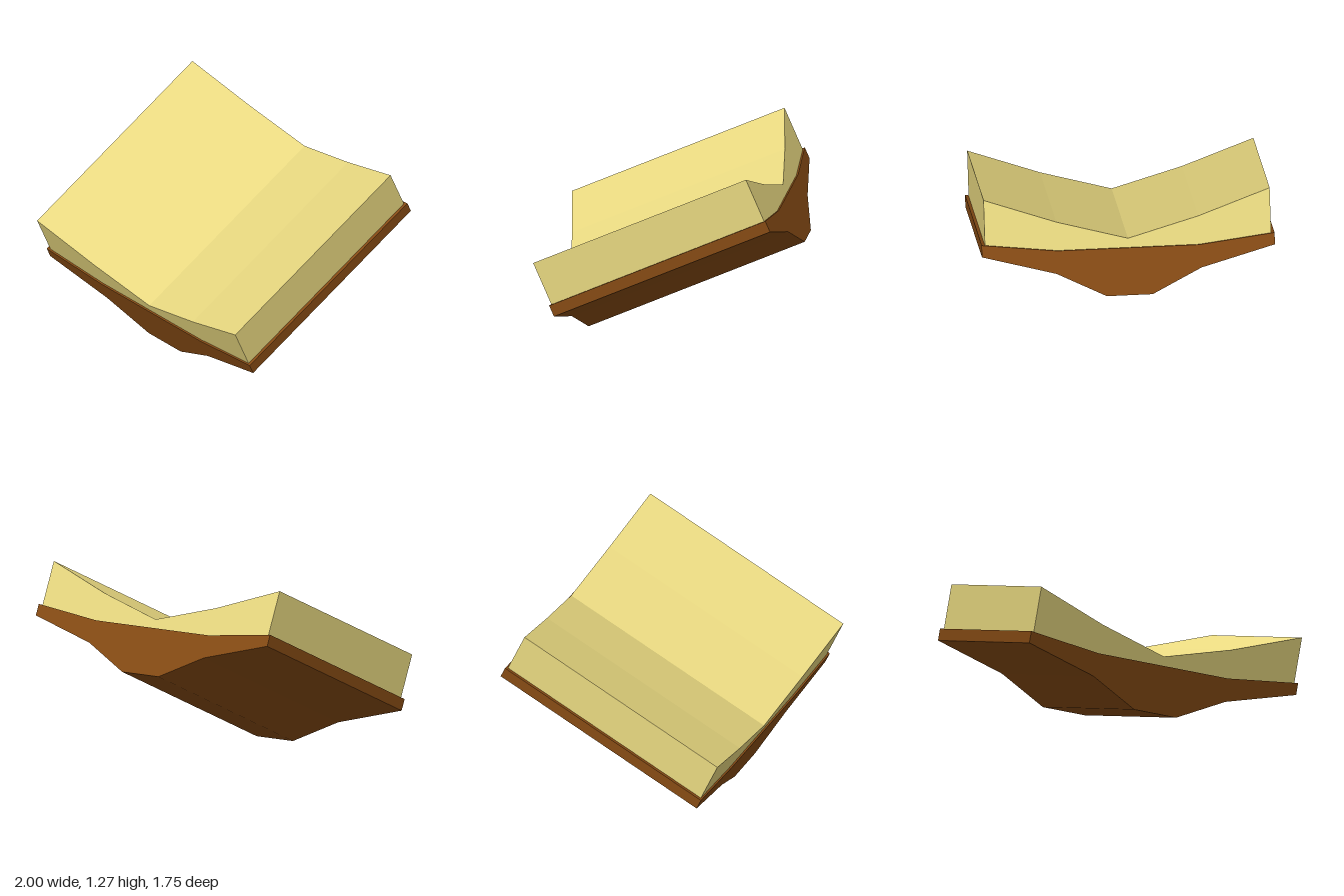
import * as THREE from 'three';

// Extrude a symmetric outline, given as its right half from bottom centre to top centre
function prism(name, half, back, front, color) {
  const mirrored = half.filter(([x]) => x > 0).reverse().map(([x, y]) => [-x, y]);
  const shape = new THREE.Shape([...half, ...mirrored].map(([x, y]) => new THREE.Vector2(x, y)));
  const geometry = new THREE.ExtrudeGeometry(shape, { depth: front - back, bevelEnabled: false });
  geometry.translate(0, 0, back);
  const mesh = new THREE.Mesh(geometry, new THREE.MeshStandardMaterial({ color, flatShading: true }));
  mesh.name = name;
  return mesh;
}

export function createModel() {
  const model = new THREE.Group();
  model.name = 'openBook';
  model.rotation.y = -0.0126;

  // Book leaning up towards the back, hinged on the front end of its spine
  const book = new THREE.Group();
  book.name = 'tiltedBook';
  book.position.z = 0.597;
  book.rotation.x = 0.411;
  model.add(book);

  // Cover: flat spine with two boards widening outwards
  book.add(prism('cover', [
    [0.155, 0], [0.49, 0.169], [0.99, 0.306], [0.99, 0.387], [0.48, 0.327],
  ], -1.603, 0, 0x864b14));

  // Pages: two blocks meeting in a valley, set in slightly from the cover
  book.add(prism('pages', [
    [0.48, 0.322], [0.967, 0.38], [0.967, 0.695], [0.48, 0.523], [0, 0.39],
  ], -1.59, -0.012, 0xe8d880));

  const root = new THREE.Group();
  root.add(model);
  return root;
}
